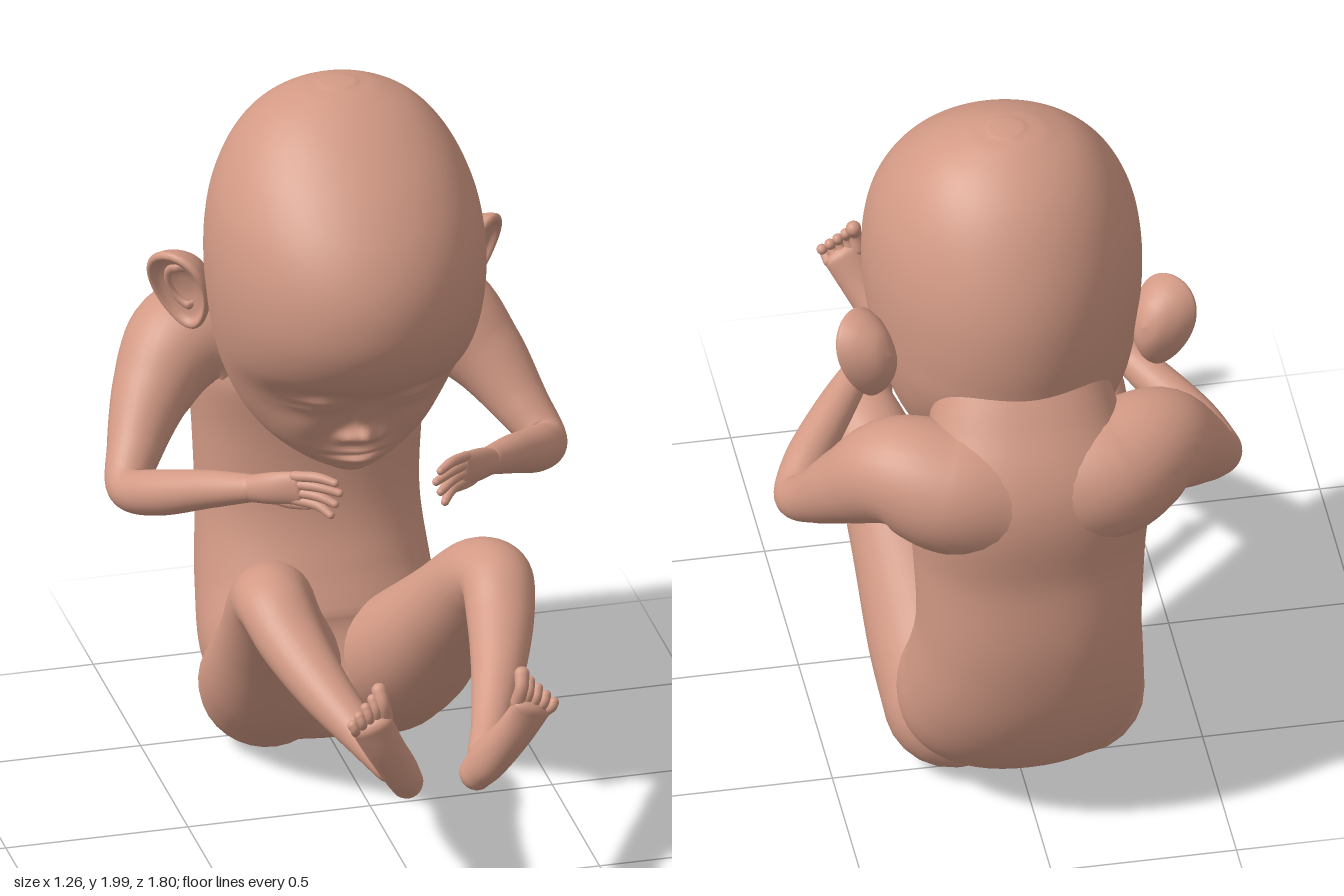
import * as THREE from 'three';

const skin = new THREE.MeshStandardMaterial({ color: 0xd39a85 });
skin.name = 'skin';

const AXIS_X = new THREE.Vector3(1, 0, 0);
const AXIS_Y = new THREE.Vector3(0, 1, 0);

// Smooth closed body through sections [x, y, z, sideRadius, depthRadius], with rounded ends.
// ref sets the direction of the side radius; level keeps every section horizontal;
// power below 1 makes the sections squarer.
function loft(sections, { ref = AXIS_X, steps = 8, sides = 32, cap = 1, level = false, power = 1 } = {}) {
  const centre = new THREE.CatmullRomCurve3(sections.map(s => new THREE.Vector3(s[0], s[1], s[2])), false, 'catmullrom');
  const radius = new THREE.CatmullRomCurve3(sections.map(s => new THREE.Vector3(s[3], s[4], 0)), false, 'catmullrom');
  const bend = v => Math.sign(v) * Math.abs(v) ** power;
  const rings = [];
  const addRing = (t, angle, end) => {
    const c = centre.getPoint(t), r = radius.getPoint(t);
    const T = level ? AXIS_Y.clone() : centre.getTangent(t);
    const S = ref.clone().addScaledVector(T, -ref.dot(T)).normalize();
    const N = new THREE.Vector3().crossVectors(T, S);
    c.addScaledVector(T, end * Math.min(r.x, r.y) * cap * Math.sin(angle));
    rings.push({ c, S, N, a: r.x * Math.cos(angle), b: r.y * Math.cos(angle) });
  };
  const capSteps = 6, count = (sections.length - 1) * steps;
  for (let k = capSteps; k > 0; k--) addRing(0, k / capSteps * Math.PI / 2, -1);
  for (let i = 0; i <= count; i++) addRing(i / count, 0, 0);
  for (let k = 1; k <= capSteps; k++) addRing(1, k / capSteps * Math.PI / 2, 1);

  const pos = [], index = [];
  rings.forEach(({ c, S, N, a, b }, i) => {
    for (let j = 0; j < sides; j++) {
      const f = j / sides * Math.PI * 2;
      const p = c.clone().addScaledVector(S, a * bend(Math.cos(f))).addScaledVector(N, b * bend(Math.sin(f)));
      pos.push(p.x, p.y, p.z);
      if (i === rings.length - 1) continue;
      const k = (j + 1) % sides, r0 = i * sides, r1 = r0 + sides;
      index.push(r0 + j, r0 + k, r1 + k, r0 + j, r1 + k, r1 + j);
    }
  });
  const g = new THREE.BufferGeometry();
  g.setAttribute('position', new THREE.Float32BufferAttribute(pos, 3));
  g.setIndex(index);
  g.computeVertexNormals();
  return g;
}

function add(parent, name, geometry) {
  const m = new THREE.Mesh(geometry, skin);
  m.name = name;
  parent.add(m);
  return m;
}

// Head: level sections [y, front z, back z, half width], then soft bumps for the face
function headGeometry() {
  const rows = [
    [0.925, -0.17, -0.36, 0.07], [0.96, -0.13, -0.43, 0.14], [1.02, -0.10, -0.50, 0.215],
    [1.10, -0.075, -0.57, 0.275], [1.20, -0.005, -0.64, 0.318], [1.30, 0.115, -0.70, 0.345],
    [1.40, 0.177, -0.72, 0.362], [1.50, 0.193, -0.725, 0.37], [1.60, 0.175, -0.715, 0.367],
    [1.70, 0.122, -0.685, 0.35], [1.80, 0.035, -0.635, 0.312], [1.88, -0.06, -0.575, 0.26],
    [1.94, -0.15, -0.505, 0.196], [1.98, -0.232, -0.433, 0.115], [1.995, -0.285, -0.382, 0.054],
  ];
  const g = loft(rows.map(([y, f, b, w]) => [0, y, (f + b) / 2, w, (f - b) / 2]),
    { steps: 9, sides: 144, cap: 0.1, level: true });
  // Each bump: x, y, width, height, push forward
  const bumps = [
    [0, 1.075, 0.034, 0.028, 0.055], [0, 1.14, 0.03, 0.05, 0.02],    // nose tip, bridge
    [0, 1.012, 0.06, 0.013, 0.02], [0, 0.978, 0.05, 0.014, 0.018],   // lips
    [0, 0.996, 0.075, 0.006, -0.015], [0, 0.94, 0.05, 0.02, 0.012],  // mouth line, chin
  ];
  for (const s of [-1, 1]) bumps.push(
    [s * 0.045, 1.064, 0.02, 0.018, 0.022],                          // nostril wing
    [s * 0.13, 1.235, 0.07, 0.03, -0.018],                           // eye socket
    [s * 0.135, 1.195, 0.055, 0.028, 0.02],                          // eyelid
    [s * 0.14, 1.19, 0.055, 0.007, -0.014],                          // closed lid line
    [s * 0.16, 1.09, 0.07, 0.05, 0.015]);                            // cheek
  const p = g.attributes.position;
  for (let i = 0; i < p.count; i++) {
    const x = p.getX(i), y = p.getY(i), z = p.getZ(i);
    if (z < -0.25) continue;
    let dz = 0;
    for (const [bx, by, w, h, push] of bumps) dz += push * Math.exp(-(((x - bx) / w) ** 2) - ((y - by) / h) ** 2);
    p.setZ(i, z + dz * Math.min(1, (z + 0.25) / 0.06));
  }
  g.computeVertexNormals();
  return g;
}

// Ear: dished disc leaning outward, narrower at the lobe, with a C-shaped inner fold
function buildEar(s) {
  const ear = new THREE.Group();
  ear.name = s > 0 ? 'leftEar' : 'rightEar';
  const profile = [[0, -0.95], [0.45, -0.8], [0.8, -0.4], [0.98, 0.0], [1, 0.15], [0.93, 0.24],
    [0.84, 0.2], [0.75, 0.03], [0.5, -0.1], [0.25, -0.2], [0, -0.22]].map(q => new THREE.Vector2(...q));
  const shell = new THREE.LatheGeometry(new THREE.SplineCurve(profile).getPoints(36), 40);
  const fold = new THREE.TorusGeometry(0.5, 0.1, 10, 32, 4.2).rotateZ(-2.1).rotateX(Math.PI / 2);
  const q = fold.attributes.position;
  for (let i = 0; i < q.count; i++) q.setY(i, q.getY(i) - 0.06 + 0.8 * Math.min(0, q.getX(i)));
  const W = new THREE.Vector3(0.7, -0.3, 0.65).normalize();
  const V = new THREE.Vector3(0.42, 1, 0.26);
  V.addScaledVector(W, -V.dot(W)).normalize();
  const U = new THREE.Vector3().crossVectors(V, W);
  for (const v of [U, W]) v.x *= s;
  const basis = new THREE.Matrix4().makeBasis(U, W, new THREE.Vector3().crossVectors(U, W));
  for (const [name, g] of [['earShell', shell], ['earFold', fold]]) {
    const p = g.attributes.position;
    for (let i = 0; i < p.count; i++) p.setX(i, p.getX(i) * (1 - 0.25 * s * p.getZ(i)));
    g.scale(0.09, 0.09, 0.13).applyMatrix4(basis).translate(s * 0.4, 1.378, -0.445);
    g.computeVertexNormals();
    add(ear, name, g);
  }
  return ear;
}

function buildArm(s) {
  const arm = new THREE.Group();
  arm.name = s > 0 ? 'leftArm' : 'rightArm';
  const part = (name, pts, opt) =>
    add(arm, name, loft(pts.map(([x, ...r]) => [s * x, ...r]), { ref: AXIS_Y, ...opt }));
  part('shoulderAndForearm', [
    [0.08, 1.06, -0.685, 0.2, 0.195], [0.22, 1.095, -0.69, 0.18, 0.185], [0.355, 1.12, -0.635, 0.15, 0.15],
    [0.455, 1.03, -0.55, 0.11, 0.11], [0.53, 0.92, -0.445, 0.076, 0.076], [0.572, 0.855, -0.35, 0.058, 0.058],
    [0.52, 0.885, -0.24, 0.062, 0.06], [0.42, 0.945, -0.11, 0.052, 0.052], [0.33, 0.99, 0.0, 0.038, 0.038]]);
  part('palm', [[0.34, 0.985, -0.01, 0.034, 0.034], [0.28, 1.012, 0.06, 0.045, 0.03],
    [0.225, 1.03, 0.11, 0.047, 0.02]], { cap: 0.8 });
  // Fingers fan out from the palm
  for (let k = 0; k < 4; k++) {
    const y = 1.064 - 0.023 * k, tip = 0.128 + 0.012 * Math.abs(k - 1);
    part('finger', [[0.235, y, 0.105, 0.014, 0.014], [0.185, y + 0.012 - 0.004 * k, 0.152, 0.014, 0.014],
      [tip + 0.005, y + 0.008 - 0.008 * k, 0.188, 0.011, 0.011]], { sides: 14, steps: 5 });
  }
  part('thumb', [[0.29, 0.995, 0.05, 0.02, 0.02], [0.25, 0.98, 0.085, 0.016, 0.016],
    [0.2, 0.978, 0.115, 0.012, 0.012]], { sides: 14, steps: 5 });
  return arm;
}

function buildLeg(s) {
  const leg = new THREE.Group();
  leg.name = s > 0 ? 'leftLeg' : 'rightLeg';
  const part = (name, pts, opt) => add(leg, name, loft(pts.map(([x, ...r]) => [s * x, ...r]), opt));
  part('buttockThighAndShin', [
    [0.165, 0.182, -0.45, 0.185, 0.178], [0.19, 0.31, -0.29, 0.18, 0.17], [0.243, 0.51, -0.1, 0.14, 0.135],
    [0.285, 0.67, 0.05, 0.115, 0.11], [0.305, 0.715, 0.16, 0.1, 0.088], [0.285, 0.66, 0.28, 0.09, 0.08],
    [0.24, 0.59, 0.43, 0.073, 0.069], [0.175, 0.52, 0.6, 0.052, 0.05], [0.13, 0.485, 0.71, 0.046, 0.048]]);
  part('foot', [[0.095, 0.452, 0.75, 0.045, 0.048], [0.125, 0.51, 0.782, 0.05, 0.06],
    [0.175, 0.6, 0.833, 0.053, 0.047], [0.218, 0.685, 0.865, 0.057, 0.03]], { cap: 0.9 });
  // Toes shorten from the big toe outward
  for (let k = 0; k < 5; k++) {
    const r = k ? 0.0145 : 0.021, x = 0.182 + 0.02 * k;
    part('toe', [[x, 0.705 - 0.008 * k, 0.862, r, r], [x + 0.008, 0.75 - 0.015 * k, 0.87 + 0.003 * k, r * 0.9, r * 0.9],
      [x + 0.014, 0.782 - 0.02 * k, 0.85 + 0.007 * k, r, r]], { sides: 14, steps: 5 });
  }
  return leg;
}

export function createModel() {
  const model = new THREE.Group();
  model.name = 'curledInfant';
  add(model, 'head', headGeometry());
  // Curved trunk from the neck down to the pelvis
  add(model, 'torso', loft([
    [0, 1.36, -0.48, 0.22, 0.19], [0, 1.21, -0.60, 0.26, 0.19], [0, 1.06, -0.66, 0.325, 0.225],
    [0, 0.85, -0.67, 0.31, 0.215], [0, 0.62, -0.667, 0.3, 0.235], [0, 0.42, -0.612, 0.315, 0.25],
    [0, 0.26, -0.505, 0.325, 0.23], [0, 0.15, -0.375, 0.27, 0.16]], { sides: 64, cap: 0.6, power: 0.9 }));
  for (const s of [-1, 1]) model.add(buildEar(s), buildArm(s), buildLeg(s));
  return model;
}
